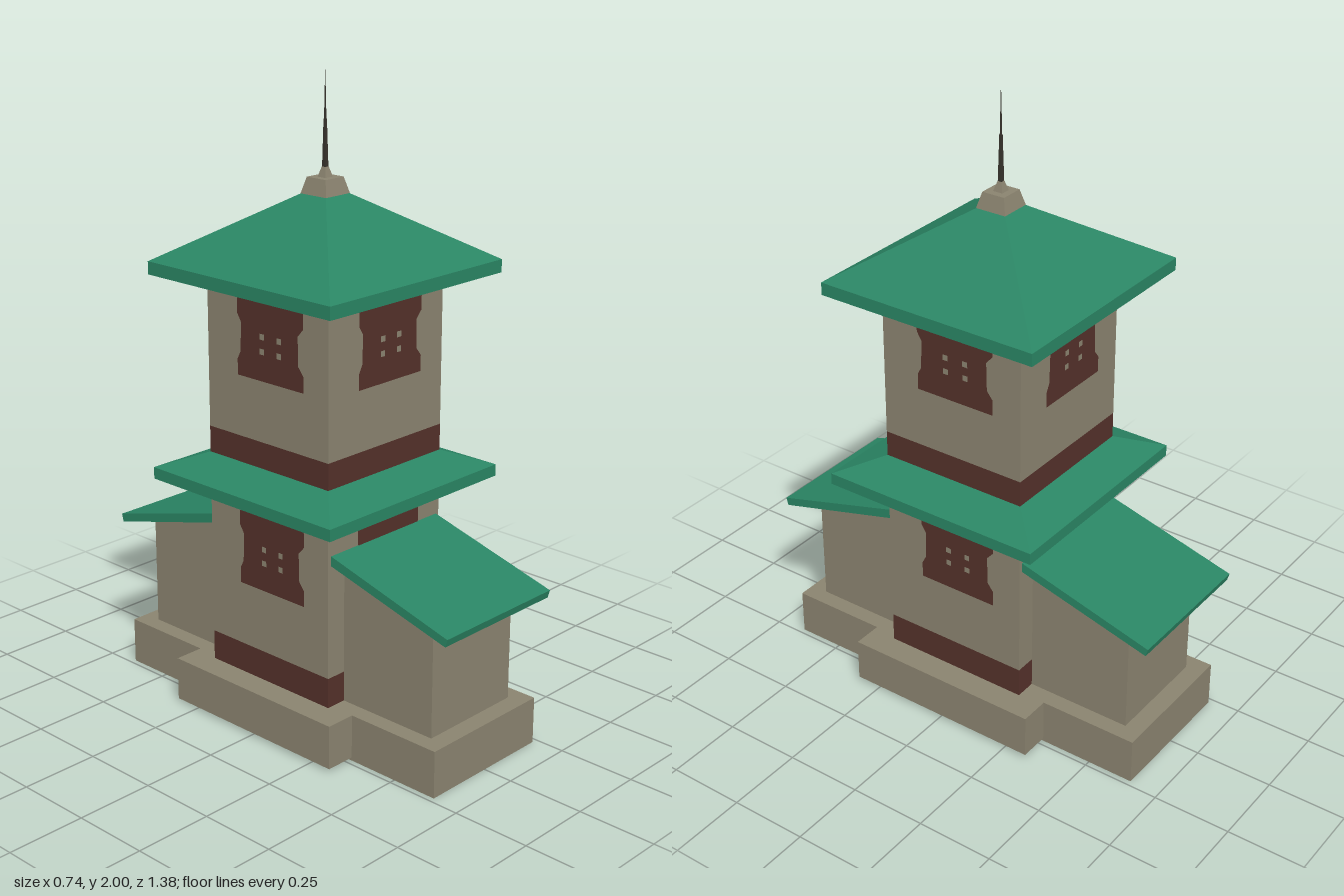
import * as THREE from 'three';

const mat = (name, color) => new THREE.MeshStandardMaterial({ name, color, flatShading: true });

export function createModel() {
  const model = new THREE.Group();
  model.name = 'pagodaTower';
  const stone = mat('stone', 0x8a836f);
  stone.side = THREE.DoubleSide; // plinths are open underneath
  const green = mat('greenRoof', 0x2a8564);
  const red = mat('redWood', 0x54312a);
  const dark = mat('darkMetal', 0x37332c);

  const add = (name, geometry, material, parent = model) => {
    const mesh = new THREE.Mesh(geometry, material);
    mesh.name = name;
    parent.add(mesh);
    return mesh;
  };

  // Box given by its limits; open leaves off the bottom face
  const box = (x, y0, y1, z0, z1, open = false) => {
    const g = new THREE.BoxGeometry(2 * x, y1 - y0, z1 - z0);
    g.translate(0, (y0 + y1) / 2, (z0 + z1) / 2);
    if (open) {
      const index = Array.from(g.index.array);
      index.splice(18, 6);
      g.setIndex(index);
      g.clearGroups();
    }
    return g;
  };

  // Square frustum given by its half widths
  const frustum = (bottom, top, y0, y1) =>
    new THREE.CylinderGeometry(top * Math.SQRT2, bottom * Math.SQRT2, y1 - y0, 4)
      .rotateY(Math.PI / 4)
      .translate(0, (y0 + y1) / 2, 0);

  // Tower shaft with painted bands
  const W = 0.247;
  add('plinth', box(0.33, 0.01, 0.15, -0.33, 0.33, true), stone);
  add('baseBand', box(W, 0.147, 0.246, -W, W), red);
  add('lowerWalls', box(W, 0.246, 0.78, -W, W), stone);
  add('upperBand', box(W, 0.84, 0.927, -W, W), red);
  add('upperWalls', box(W, 0.927, 1.42, -W, W), stone);

  // Hipped roofs: eave slab and slope
  for (const [name, y0, y1, y2, top] of [
    ['lowerRoof', 0.757, 0.794, 0.844, W],
    ['upperRoof', 1.4, 1.44, 1.641, 0.05],
  ]) {
    add(name + 'Eave', box(0.37, y0, y1, -0.37, 0.37), green);
    add(name + 'Slope', frustum(0.37, top, y1, y2), green);
  }

  // Finial and spire
  add('finialBase', frustum(0.051, 0.038, 1.641, 1.69), stone);
  add('spireFoot', frustum(0.016, 0.007, 1.69, 1.72), stone);
  add('spireShaft', frustum(0.007, 0.0035, 1.7, 1.86), dark);
  add('spireTip', frustum(0.0025, 0.0003, 1.86, 2.0), dark);

  // Lattice window, y measured from its bottom edge
  const outline = [
    [-0.12, 0], [0.15, 0], [0.15, 0.05], [0.13, 0.075], [0.128, 0.165], [0.15, 0.19],
    [0.15, 0.235], [0.14, 0.245], [-0.112, 0.245], [-0.12, 0.235], [-0.12, 0.19],
    [-0.104, 0.165], [-0.107, 0.075], [-0.12, 0.05],
  ];
  const windowShape = new THREE.Shape(outline.map(([x, y]) => new THREE.Vector2(x, y)));
  for (const x of [-0.018, 0.052]) {
    for (const y of [0.09, 0.135]) {
      const s = 0.009;
      windowShape.holes.push(new THREE.Path([
        new THREE.Vector2(x - s, y - s), new THREE.Vector2(x - s, y + s),
        new THREE.Vector2(x + s, y + s), new THREE.Vector2(x + s, y - s),
      ]));
    }
  }
  const windowGeo = new THREE.ShapeGeometry(windowShape);
  ['front', 'left', 'back', 'right'].forEach((side, i) => {
    const group = new THREE.Group();
    group.name = side + 'Windows';
    group.rotation.y = i * Math.PI / 2;
    add('lowerWindow', windowGeo, red, group).position.set(0, 0.45, W + 0.0015);
    add('upperWindow', windowGeo, red, group).position.set(0, 1.117, W + 0.0015);
    model.add(group);
  });

  // Side profile given as [z, y], extruded across x
  const across = (points, half) =>
    new THREE.ExtrudeGeometry(
      new THREE.Shape(points.map(([z, y]) => new THREE.Vector2(-z, y))),
      { depth: 2 * half, bevelEnabled: false },
    ).translate(0, 0, -half).rotateY(Math.PI / 2);

  // Lean-to porches at the front and back
  const porchWalls = across([[0.24, 0.15], [0.593, 0.15], [0.593, 0.508], [0.24, 0.605]], 0.178);
  const porchRoof = across([[0.24, 0.608], [0.685, 0.49], [0.692, 0.515], [0.24, 0.639]], 0.235);
  const porchPlinth = box(0.232, 0, 0.15, 0.185, 0.652, true);
  ['front', 'back'].forEach((side, i) => {
    const porch = new THREE.Group();
    porch.name = side + 'Porch';
    porch.rotation.y = i * Math.PI;
    add('porchPlinth', porchPlinth, stone, porch);
    add('porchWalls', porchWalls, stone, porch);
    add('porchRoof', porchRoof, green, porch);
    model.add(porch);
  });

  return model;
}
